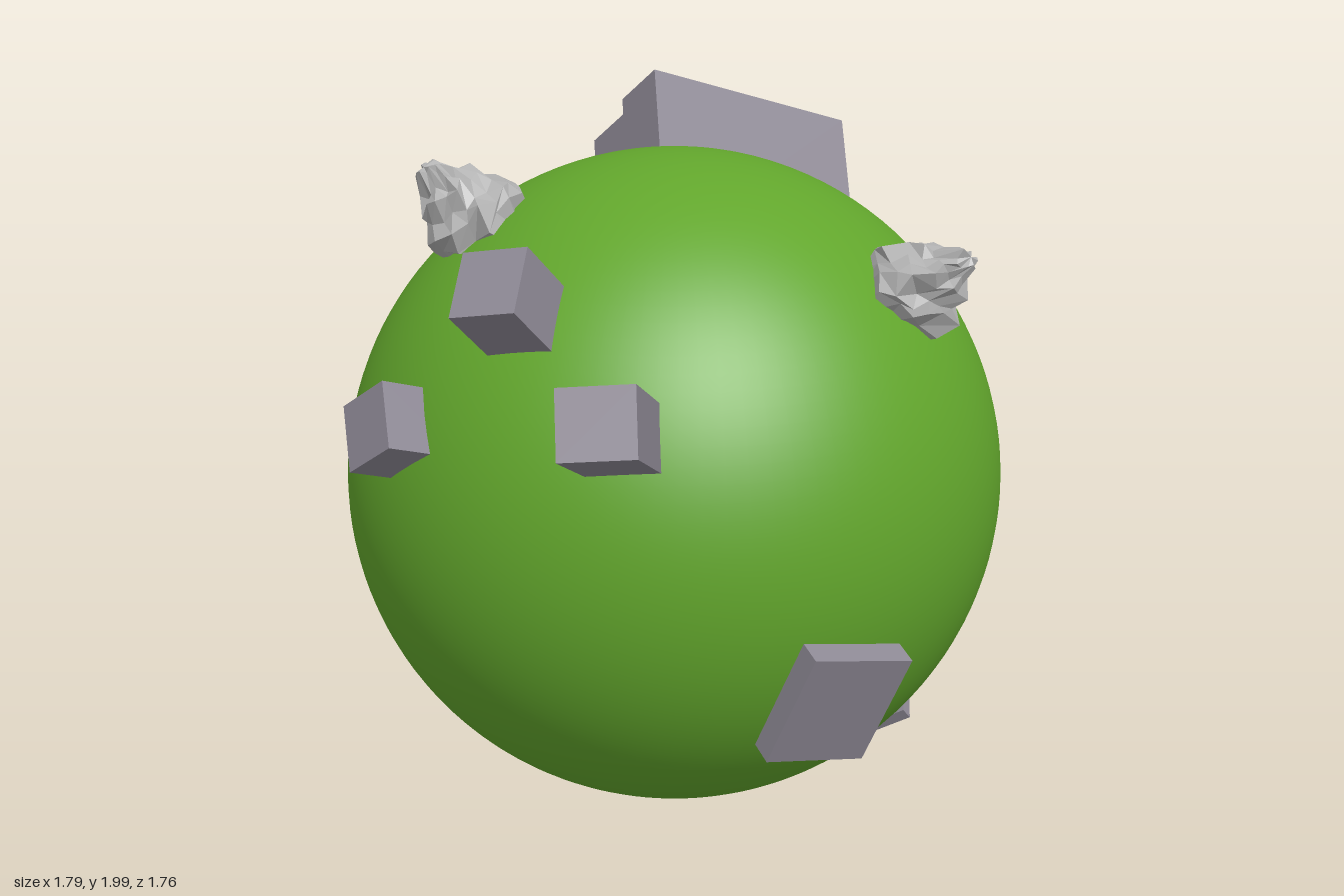
import * as THREE from 'three';

const V = (a) => new THREE.Vector3(...a);
const CENTER = V([-0.04, 1.01, -0.047]);
const RADIUS = 0.834;

const mat = (name, color) => {
  const m = new THREE.MeshStandardMaterial({ color });
  m.name = name;
  return m;
};

// Orients an object so its y axis is n and its x axis leans towards hint
function orient(obj, n, hint) {
  const y = n.clone().normalize();
  const x = hint.clone().addScaledVector(y, -hint.dot(y)).normalize();
  const z = new THREE.Vector3().crossVectors(x, y);
  obj.quaternion.setFromRotationMatrix(new THREE.Matrix4().makeBasis(x, y, z));
}

// Box standing radially on the globe; top is the centre of its outer face
function block(name, material, top, hint, w, h, depth) {
  const p = V(top);
  const n = p.clone().sub(CENTER).normalize();
  const mesh = new THREE.Mesh(new THREE.BoxGeometry(w, depth, h), material);
  mesh.name = name;
  orient(mesh, n, V(hint));
  mesh.position.copy(p).addScaledVector(n, -depth / 2);
  return mesh;
}

// Jagged crag: rings of ridged, jittered points closing in a leaning peak
function rockGeometry(seed) {
  let s = seed;
  const rnd = () => {
    s = (s * 16807) % 2147483647;
    return s / 2147483647;
  };
  const segs = 16;
  const profile = [[0.1, -0.05], [0.125, 0.01], [0.12, 0.05], [0.092, 0.075], [0.08, 0.115], [0.05, 0.135], [0.03, 0.18]];
  const ridge = Array.from({ length: segs }, () => 0.82 + 0.34 * rnd());
  const pos = [];
  const index = [];
  profile.forEach(([r, y], j) => {
    for (let i = 0; i < segs; i++) {
      const a = ((i + 0.5 * (j % 2)) / segs) * Math.PI * 2;
      const k = r * ridge[i] * (0.9 + 0.2 * rnd());
      pos.push(Math.cos(a) * k + y * 0.15, y + (rnd() - 0.5) * 0.035, Math.sin(a) * k);
    }
  });
  pos.push(0.03, 0.19, 0);
  const tip = profile.length * segs;
  for (let j = 0; j < profile.length; j++) {
    for (let i = 0; i < segs; i++) {
      const a = j * segs + i;
      const b = j * segs + ((i + 1) % segs);
      if (j === profile.length - 1) index.push(a, tip, b);
      else index.push(a, a + segs, b, b, a + segs, b + segs);
    }
  }
  const g = new THREE.BufferGeometry();
  g.setAttribute('position', new THREE.Float32BufferAttribute(pos, 3));
  g.setIndex(index);
  const flat = g.toNonIndexed();
  flat.computeVertexNormals();
  return flat;
}

export function createModel() {
  const model = new THREE.Group();
  model.name = 'blockPlanet';
  const green = mat('grassGreen', 0x62a62c);
  const stone = mat('blockGrey', 0x8e8995);
  const crag = mat('rockGrey', 0xb0b0b0);

  // Globe
  const globe = new THREE.Mesh(new THREE.SphereGeometry(RADIUS, 96, 64), green);
  globe.name = 'globe';
  globe.position.copy(CENTER);
  model.add(globe);

  // Single blocks and the slab on the side: top centre, edge direction, width, height, depth
  const blocks = [
    ['frontBlock', [-0.11, 1.305, 0.84], [0.085, -0.132, 0], 0.165, 0.165, 0.2],
    ['upperFrontBlock', [0.162, 1.667, 0.683], [0.129, -0.245, 0.182], 0.165, 0.165, 0.24],
    ['tallBlock', [0.625, 1.47, 0.766], [0.13, 0.016, -0.11], 0.17, 0.155, 0.42],
    ['sideSlab', [0.796, 0.706, 0.2], [0.058, -0.058, -0.26], 0.27, 0.3, 0.06],
    ['lowerPairBlock', [-0.776, 0.37, 0.0], [0.6, -0.8, 0], 0.22, 0.19, 0.24],
    ['upperPairBlock', [-0.76, 0.49, 0.17], [0.62, -0.78, 0], 0.17, 0.17, 0.2],
    // Thin plates floating under the globe
    ['floatingPlate', [-0.4, 0.052, -0.205], [0.116, -0.088, 0.13], 0.195, 0.146, 0.03],
    ['floatingPlate', [-0.44, 0.285, -0.66], [0.1, -0.1, 0.08], 0.17, 0.16, 0.035],
    ['floatingPlate', [0.15, 0.21, -0.685], [0.13, 0.07, -0.08], 0.165, 0.16, 0.035],
  ];
  blocks.forEach(([name, ...rest]) => model.add(block(name, stone, ...rest)));

  // Stepped cluster, in a frame whose y axis is the normal of the step tops
  const steps = new THREE.Group();
  steps.name = 'steppedBlocks';
  steps.position.set(-0.32, 1.997, -0.23);
  orient(steps, V([-0.51, 0.78, -0.375]), V([-0.83, -0.56, -0.04]));
  // x start, x end, z start, z end, top, bottom
  const parts = [
    [0, 0.165, 0, 0.6, 0, -0.5],
    [0.165, 0.32, 0, 0.3, -0.045, -0.45],
    [0.32, 0.47, 0, 0.3, -0.09, -0.4],
    [0.165, 0.34, 0.3, 0.6, 0.09, -0.4],
    [0.34, 0.505, 0.3, 0.6, 0.18, -0.3],
    [0.505, 0.675, 0.3, 0.6, 0.18, -0.02],
  ];
  parts.forEach(([x0, x1, z0, z1, top, bottom]) => {
    const mesh = new THREE.Mesh(new THREE.BoxGeometry(x1 - x0, top - bottom, z1 - z0), stone);
    mesh.name = 'step';
    mesh.position.set((x0 + x1) / 2, (top + bottom) / 2, (z0 + z1) / 2);
    steps.add(mesh);
  });
  model.add(steps);

  // Rocks: direction from the globe's centre, lean of the peak, seed
  const rocks = [
    [[-0.25, 0.74, 0.46], [-0.2, 0.2, 0.3], 11],
    [[0.63, 0.59, -0.22], [0.7, -0.4, 0.1], 207],
    [[-0.79, 0.13, -0.5], [0.2, 0.8, 0], 3301],
  ];
  rocks.forEach(([dir, lean, seed]) => {
    const n = V(dir).normalize();
    const rock = new THREE.Mesh(rockGeometry(seed), crag);
    rock.name = 'rock';
    orient(rock, n, V(lean));
    rock.position.copy(CENTER).addScaledVector(n, RADIUS);
    model.add(rock);
  });

  return model;
}
